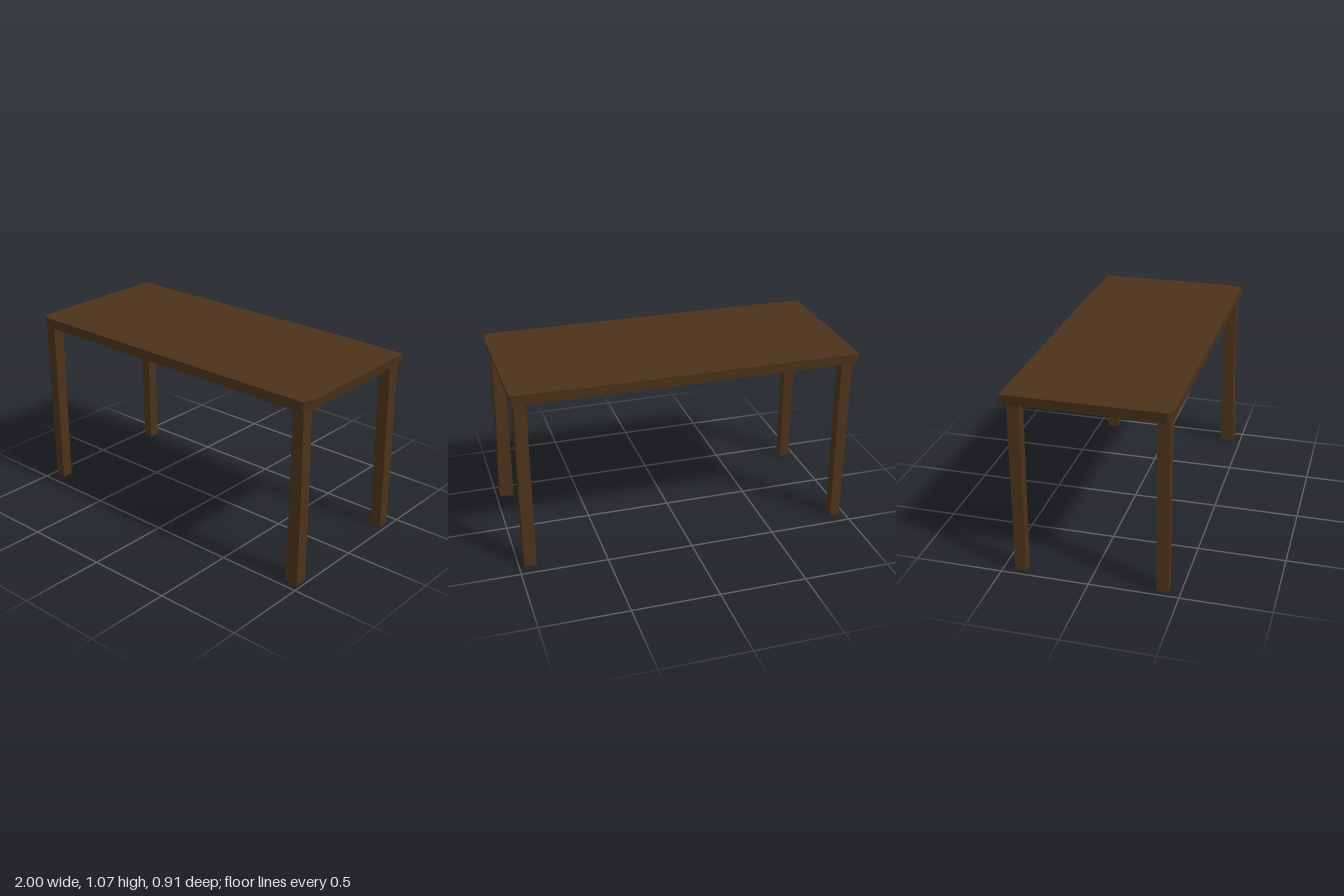
import * as THREE from 'three';

const wood = new THREE.MeshStandardMaterial({ color: 0x4b321a, flatShading: true });

// Solid lofted through rings [y, [[x, z], ...]], bottom to top, corners counterclockwise from above
function loft(name, rings) {
  const n = rings[0][1].length;
  const pos = [], index = [];
  for (const [y, pts] of rings) for (const [x, z] of pts) pos.push(x, y, z);
  for (let r = 0; r < rings.length - 1; r++) {
    for (let i = 0; i < n; i++) {
      const a = r * n + i, b = r * n + (i + 1) % n;
      index.push(a, b, b + n, a, b + n, a + n);
    }
  }
  const top = (rings.length - 1) * n;
  for (let k = 1; k < n - 1; k++) index.push(0, k + 1, k, top, top + k, top + k + 1);
  const indexed = new THREE.BufferGeometry();
  indexed.setAttribute('position', new THREE.Float32BufferAttribute(pos, 3));
  indexed.setIndex(index);
  const geometry = indexed.toNonIndexed();
  geometry.computeVertexNormals();
  const mesh = new THREE.Mesh(geometry, wood);
  mesh.name = name;
  return mesh;
}

const rect = (x0, x1, z0, z1) => [[x0, z1], [x1, z1], [x1, z0], [x0, z0]];

export function createModel() {
  const group = new THREE.Group();
  group.name = 'table';

  // Slab with worn corners, slightly narrower underneath
  const outline = [
    [-1, 0.425], [-0.94, 0.45], [0.98, 0.455], [1, 0.375],
    [0.99, -0.445], [0.65, -0.457], [-1, -0.457],
  ];
  const underside = outline.map(([x, z]) => [x * 0.988, z * 0.987]);
  group.add(loft('tableTop', [[1.01, underside], [1.07, outline]]));

  // Hand-hewn legs, each a little uneven
  group.add(loft('frontLeftLeg', [
    [0, [[0.895, 0.455], [0.98, 0.455], [0.98, 0.385], [0.895, 0.37]]],
    [0.45, rect(0.895, 0.97, 0.364, 0.435)],
    [1.01, rect(0.9, 0.968, 0.366, 0.435)],
  ]));
  group.add(loft('backLeftLeg', [
    [0, rect(0.9, 0.97, -0.434, -0.367)],
    [0.5, rect(0.9, 0.97, -0.43, -0.36)],
    [1.01, rect(0.9, 0.968, -0.428, -0.353)],
  ]));
  group.add(loft('frontRightLeg', [
    [0, rect(-0.965, -0.907, 0.37, 0.435)],
    [1.01, rect(-0.972, -0.907, 0.366, 0.435)],
  ]));
  group.add(loft('backRightLeg', [
    [0, rect(-0.965, -0.907, -0.43, -0.367)],
    [1.01, rect(-0.972, -0.907, -0.428, -0.36)],
  ]));
  return group;
}
